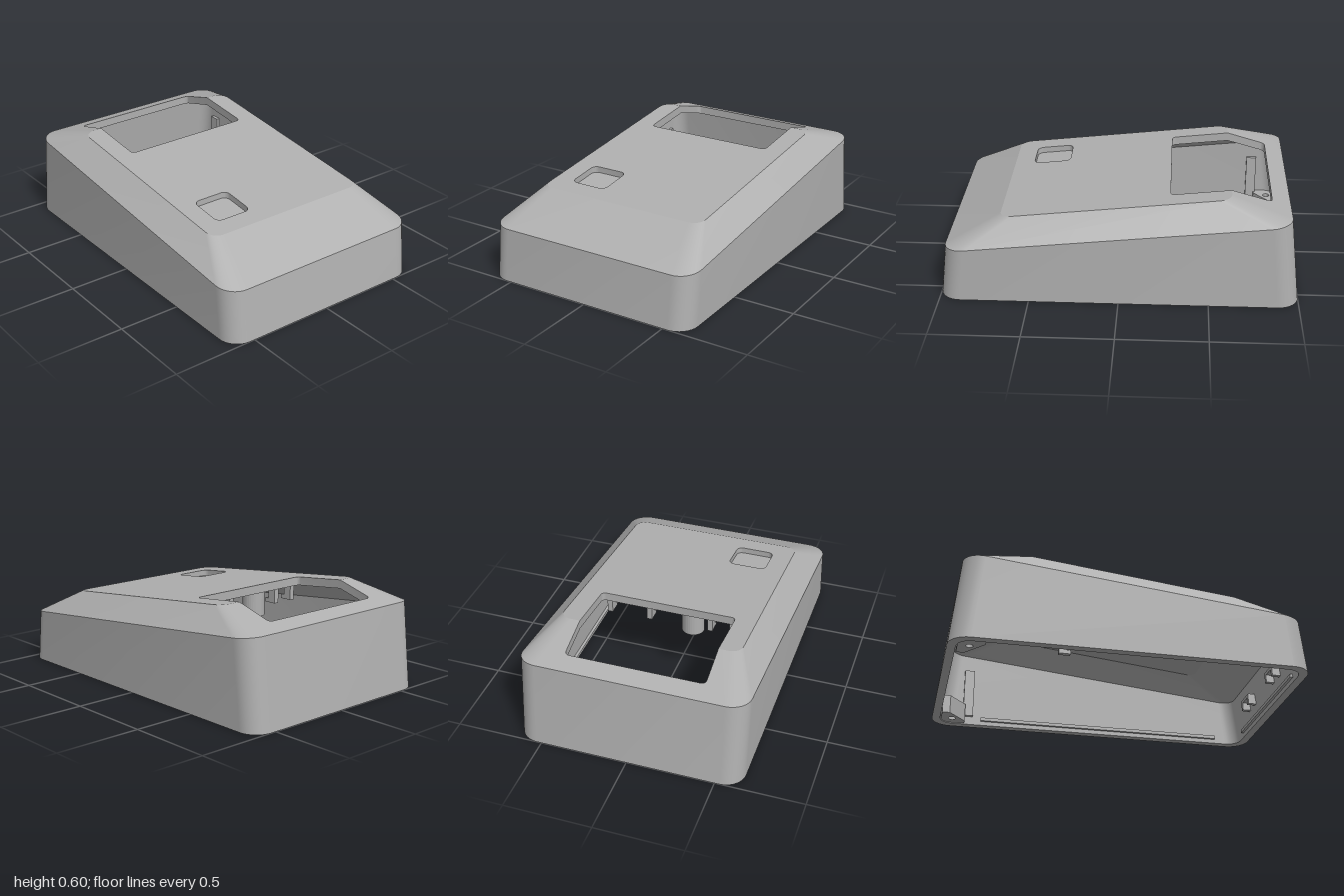
import * as THREE from 'three';
import { toCreasedNormals } from 'three/addons/utils/BufferGeometryUtils.js';

const SEG = 8;                       // segments per rounded corner
const WIN = { x: 0.395, front: -0.28, back: -0.84, r: 0.025 };
const BREAK = -0.615;                // where the roof folds down to the back

// Rounded rectangle in x/z, open at its back edge, running back +x -> front -> back -x
function ring(x0, x1, zb, zf, r, seg = SEG) {
  const pts = [];
  const corners = [[x1 - r, zb + r, -90], [x1 - r, zf - r, 0], [x0 + r, zf - r, 90], [x0 + r, zb + r, 180]];
  for (const [cx, cz, start] of corners) {
    for (let i = 0; i <= seg; i++) {
      const a = THREE.MathUtils.degToRad(start + 90 * i / seg);
      pts.push([cx + r * Math.cos(a), cz + r * Math.sin(a)]);
    }
  }
  return pts;
}
const lift = (pts, h) => pts.map(([x, z]) => [x, h(z), z]);

// Strip between two rings; faces outward unless flipped
function loft(out, lower, upper, closed, flip) {
  const n = lower.length;
  for (let i = 0; i < (closed ? n : n - 1); i++) {
    const j = (i + 1) % n;
    const tris = [[lower[i], upper[i], lower[j]], [lower[j], upper[i], upper[j]]];
    for (const [a, b, c] of tris) out.push(...a, ...(flip ? c : b), ...(flip ? b : c));
  }
}

// Flat outline laid on the height rule h
function sheet(out, pts, h, flip, hole) {
  const v = ([x, z]) => new THREE.Vector2(x, -z);
  const shape = new THREE.Shape(pts.map(v));
  if (hole) shape.holes.push(new THREE.Path(hole.map(v)));
  const p = new THREE.ShapeGeometry(shape).toNonIndexed().attributes.position;
  for (let i = 0; i < p.count; i += 3) {
    for (const k of flip ? [0, 2, 1] : [0, 1, 2]) {
      const z = -p.getY(i + k);
      out.push(p.getX(i + k), h(z), z);
    }
  }
}

function creased(out) {
  const g = new THREE.BufferGeometry();
  g.setAttribute('position', new THREE.Float32BufferAttribute(out, 3));
  return toCreasedNormals(g, 0.26);
}

// One skin of the housing: walls, bevels, roof with the window cut out
function skin(out, s, flip, hole) {
  const line = (za, ya, zb, yb) => z => ya + (yb - ya) * (z - za) / (zb - za);
  const beltH = line(s.beltF, s.beltFY, s.beltB, s.beltBY);
  const roofH = line(s.topF, s.topFY, BREAK, s.topBY);
  const backH = line(BREAK, s.topBY, s.beltB, s.beltBY);
  const bottom = lift(ring(-s.hx, s.hx, -s.hz, s.hz, s.r), () => 0);
  const belt = lift(ring(-s.hx, s.hx, s.beltB, s.beltF, s.r), beltH);
  const topPts = ring(-s.topX, s.topX, BREAK, s.topF, s.topR);
  loft(out, bottom, belt, true, flip);
  loft(out, belt, lift(topPts, roofH), false, flip);

  // Window outline divided at the roof fold
  const w = ring(-WIN.x, WIN.x, WIN.back, WIN.front, WIN.r, 5);
  const frontHalf = w.slice(6, 18), backRight = w.slice(0, 6), backLeft = w.slice(18);
  const R = [WIN.x, BREAK], L = [-WIN.x, BREAK];
  sheet(out, [...topPts, L, ...frontHalf.slice().reverse(), R], roofH, flip, hole);
  const tx = s.topX - s.topR, bx = s.hx - s.r;
  sheet(out, [[-tx, BREAK], L, ...backLeft, ...backRight, R, [tx, BREAK], [bx, s.beltB], [-bx, s.beltB]], backH, flip);
  const edge = lift([...backRight, R, ...frontHalf, L, ...backLeft], z => (z < BREAK ? backH(z) : roofH(z)));
  return { bottom, edge, roofH };
}

export function createModel() {
  const root = new THREE.Group();
  root.name = 'deviceHousing';
  const grey = new THREE.MeshStandardMaterial({ color: 0xb0b0b0 });
  grey.name = 'housing grey';
  const add = (name, geo, x = 0, y = 0, z = 0) => {
    const m = new THREE.Mesh(geo, grey);
    m.name = name;
    m.position.set(x, y, z);
    root.add(m);
    return m;
  };
  const box = (name, w, h, d, x, y, z) => add(name, new THREE.BoxGeometry(w, h, d), x, y, z);

  // Hollow housing
  const recess = ring(-0.398, -0.175, 0.328, 0.545, 0.035, 5);
  const tris = [];
  const outer = skin(tris, {
    hx: 0.645, hz: 1, r: 0.115, beltF: 0.965, beltFY: 0.3, beltB: -0.945, beltBY: 0.5,
    topX: 0.515, topF: 0.66, topFY: 0.457, topBY: 0.595, topR: 0.065,
  }, false, recess);
  const inner = skin(tris, {
    hx: 0.597, hz: 0.952, r: 0.08, beltF: 0.92, beltFY: 0.275, beltB: -0.9, beltBY: 0.465,
    topX: 0.49, topF: 0.645, topFY: 0.409, topBY: 0.545, topR: 0.05,
  }, true);
  loft(tris, inner.bottom, outer.bottom, true, false);   // bottom rim
  loft(tris, inner.edge, outer.edge, true, true);        // window reveal
  add('housingShell', creased(tris));

  // Square button recess
  const pocket = [];
  const floorH = z => outer.roofH(z) - 0.035;
  loft(pocket, lift(recess, floorH), lift(recess, outer.roofH), true, true);
  sheet(pocket, recess, floorH, false);
  add('buttonRecess', creased(pocket));

  // Raised pad behind the recess
  const pad = box('recessBacking', 0.27, 0.015, 0.27, -0.287, inner.roofH(0.437) - 0.006, 0.437);
  pad.rotation.x = Math.atan2(0.138, 1.275);

  // Extruded plate with a round screw hole, standing upright
  const boss = (shape, hole, depth) => {
    shape.holes.push(new THREE.Path().absarc(0, 0, hole, 0, Math.PI * 2, true));
    return new THREE.ExtrudeGeometry(shape, { depth, bevelEnabled: false, curveSegments: 16 })
      .rotateX(-Math.PI / 2);
  };

  // Corner screw blocks at the back
  for (const side of [1, -1]) {
    const tab = new THREE.Shape([[-0.09, 0.065], [0.035, 0.065], [0.07, 0.03], [0.07, -0.08], [0.03, -0.08], [-0.09, 0.02]]
      .map(([x, y]) => new THREE.Vector2(x * side, y)));
    add('cornerScrewBlock', boss(tab, 0.02, 0.11), side * 0.525, 0.004, -0.88);
    box('cornerRib', 0.02, 0.3, 0.06, side * 0.585, 0.2, -0.78);
    // Ledge along each side wall
    box('sideLedge', 0.02, 0.02, 1.5, side * 0.59, 0.035, 0.05);
  }
  box('frontLedge', 0.9, 0.02, 0.02, 0, 0.035, 0.943);

  // Round post hanging from the roof beside the window
  const post = new THREE.Shape().absarc(0, 0, 0.065, 0, Math.PI * 2, false);
  add('roofPost', boss(post, 0.025, 0.15), -0.12, 0.36, -0.19);

  // Hanging clips along the window's front edge
  for (const x of [0.36, 0.12, -0.24, -0.37]) {
    box('windowClip', 0.03, 0.1, 0.05, x, 0.47, -0.235);
    box('windowClipHook', 0.03, 0.025, 0.03, x, 0.432, -0.2);
  }

  // Pair of U-shaped catches on the front wall
  for (const x of [0.22, -0.22]) {
    box('frontCatchBar', 0.13, 0.02, 0.06, x, 0.16, 0.92);
    for (const s of [1, -1]) box('frontCatchArm', 0.025, 0.05, 0.06, x + s * 0.0525, 0.13, 0.92);
  }
  return root;
}
